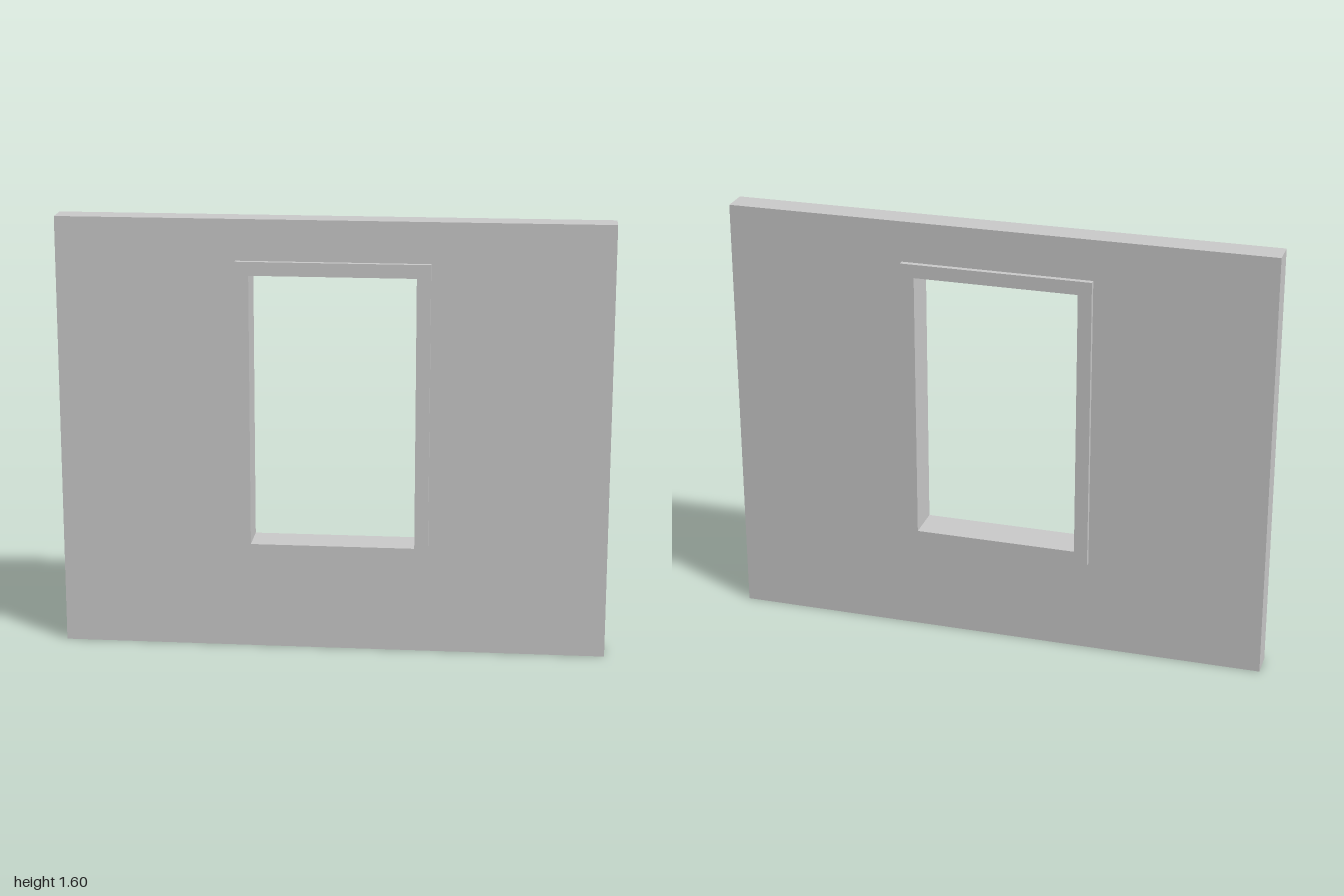
import * as THREE from 'three';

const material = new THREE.MeshStandardMaterial({ color: 0xcccccc });

// Corners of a rectangle, counter-clockwise
function corners(halfWidth, bottom, top) {
  return [[-halfWidth, bottom], [halfWidth, bottom], [halfWidth, top], [-halfWidth, top]]
    .map(([x, y]) => new THREE.Vector2(x, y));
}

// Rectangular slab with a rectangular opening, starting at z = back
function slabWithOpening(name, outer, opening, back, depth) {
  const shape = new THREE.Shape(outer);
  shape.holes.push(new THREE.Path(opening));
  const geometry = new THREE.ExtrudeGeometry(shape, { depth, bevelEnabled: false });
  geometry.translate(0, 0, back);
  const mesh = new THREE.Mesh(geometry, material);
  mesh.name = name;
  return mesh;
}

export function createModel() {
  const model = new THREE.Group();
  model.name = 'wallWithWindow';
  const opening = corners(0.3, 0.4, 1.4);
  const trim = corners(0.35, 0.35, 1.45);

  // Wall panel
  model.add(slabWithOpening('wall', corners(1, 0, 1.6), opening, -0.05, 0.1));

  // Raised trim around the opening on both faces
  model.add(slabWithOpening('frontTrim', trim, opening, 0.05, 0.02));
  model.add(slabWithOpening('backTrim', trim, opening, -0.07, 0.02));

  return model;
}
